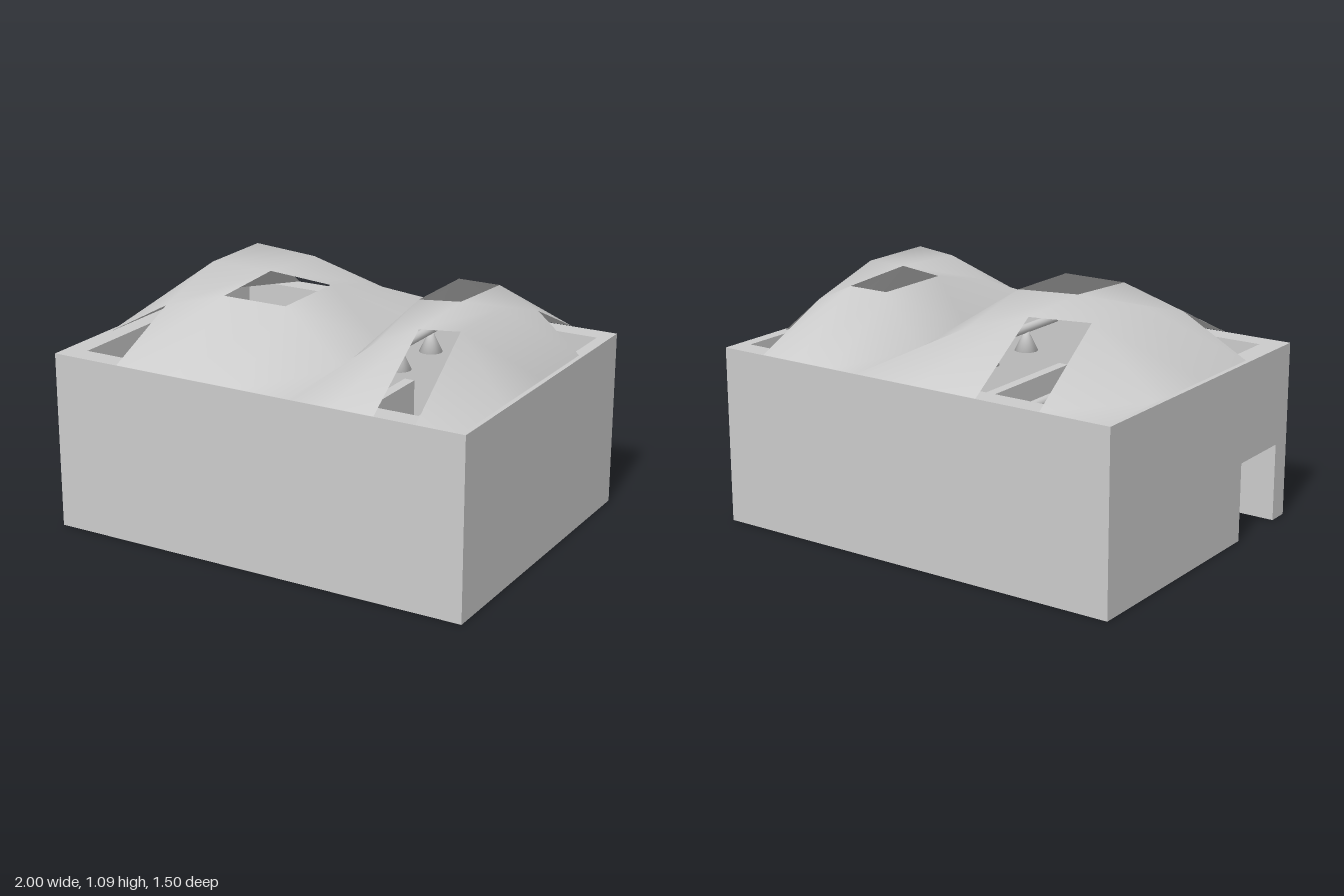
import * as THREE from 'three';

const mat = new THREE.MeshStandardMaterial({ color: 0xcccccc });
const matDouble = new THREE.MeshStandardMaterial({ color: 0xcccccc, side: THREE.DoubleSide });

export function createModel() {
  const model = new THREE.Group();

  function add(name, geometry, material = mat, parent = model) {
    const mesh = new THREE.Mesh(geometry, material);
    mesh.name = name;
    parent.add(mesh);
    return mesh;
  }

  // Box given by its limits on each axis
  function slab(name, x0, x1, y0, y1, z0, z1) {
    const g = new THREE.BoxGeometry(x1 - x0, y1 - y0, z1 - z0);
    g.translate((x0 + x1) / 2, (y0 + y1) / 2, (z0 + z1) / 2);
    return add(name, g);
  }

  // Outline of (z, y) points extruded from x0 to x1
  function sideExtrude(name, points, x0, x1) {
    const shape = new THREE.Shape(points.map(([z, y]) => new THREE.Vector2(-z, y)));
    const g = new THREE.ExtrudeGeometry(shape, { depth: x1 - x0, bevelEnabled: false });
    g.rotateY(Math.PI / 2);
    g.translate(x0, 0, 0);
    return add(name, g);
  }

  // Round bar between two points
  function bar(name, a, b, radius, parent = model, sides = 16) {
    const dir = b.clone().sub(a);
    const mesh = add(name, new THREE.CylinderGeometry(radius, radius, dir.length(), sides), mat, parent);
    mesh.position.copy(a).add(b).multiplyScalar(0.5);
    mesh.quaternion.setFromUnitVectors(new THREE.Vector3(0, 1, 0), dir.normalize());
  }

  // Outer walls, open underneath, with a doorway in the side wall
  const H = 0.81;
  slab('frontWall', -1, 1, 0, H, 0.65, 0.75);
  slab('backWall', -1, 1, 0, H, -0.75, -0.65);
  slab('leftWall', 0.945, 1, 0, H, -0.65, 0.65);
  sideExtrude('doorWall', [
    [0.65, H], [0.65, 0.36], [0.33, 0.36], [0.33, 0], [-0.65, 0], [-0.65, H],
  ], -1, -0.9);

  // Inner partition
  slab('partition', 0.115, 0.165, 0, 0.55, -0.39, 0.65);

  // Gallery
  slab('walkway', -0.41, -0.18, 0.32, 0.36, -0.45, 0.65);
  slab('backGallery', -0.9, -0.18, 0.32, 0.36, -0.65, -0.45);
  slab('landing', -0.9, -0.74, 0.25, 0.36, -0.45, -0.1);

  // Stairs with a sloping underside
  const steps = 8, zStart = 0.32, zEnd = -0.1, rise = 0.36 / steps, run = (zStart - zEnd) / steps;
  const profile = [[zStart, 0]];
  for (let i = 0; i < steps; i++) {
    profile.push([zStart - i * run, (i + 1) * rise], [zStart - (i + 1) * run, (i + 1) * rise]);
  }
  profile.push([zEnd, 0.25], [zStart - 0.12, 0]);
  sideExtrude('stairs', profile, -0.9, -0.74);

  // Railings
  function railing(name, a, b, posts) {
    const group = new THREE.Group();
    group.name = name;
    model.add(group);
    const p = new THREE.Vector3(...a), q = new THREE.Vector3(...b);
    const up = new THREE.Vector3(0, 0.13, 0);
    bar('handrail', p.clone().add(up), q.clone().add(up), 0.008, group, 8);
    for (let i = 0; i <= posts; i++) {
      const foot = p.clone().lerp(q, i / posts);
      bar('post', foot, foot.clone().add(up), 0.006, group, 8);
    }
  }
  railing('walkwayRailing', [-0.188, 0.36, -0.64], [-0.188, 0.36, 0.64], 7);
  railing('innerRailing', [-0.402, 0.36, -0.458], [-0.402, 0.36, 0.64], 6);
  railing('backRailing', [-0.748, 0.36, -0.458], [-0.402, 0.36, -0.458], 2);
  railing('landingRailing', [-0.748, 0.36, -0.458], [-0.748, 0.36, -0.1], 2);
  railing('stairRailing', [-0.748, 0.36, -0.1], [-0.748, 0.03, 0.3], 3);

  // Ceiling bars with hanging lamps
  const lampProfile = [[0, 0.05], [0.015, 0.05], [0.018, 0.03], [0.055, -0.045], [0, -0.045]]
    .reverse().map(([r, y]) => new THREE.Vector2(r, y));
  const lampGeometry = new THREE.LatheGeometry(lampProfile, 24);
  for (const x of [-0.53, 0.19, 0.72]) {
    bar('ceilingBar', new THREE.Vector3(x, 0.77, -0.65), new THREE.Vector3(x, 0.77, 0.65), 0.021);
    for (const z of [-0.5, -0.2, 0.1, 0.41]) {
      add('lamp', lampGeometry, matDouble).position.set(x, 0.71, z);
    }
  }

  // Roof: two hills on a coarse grid, with six cells left open
  const zs = [-0.75, -0.375, 0, 0.375, 0.75];
  const xs = [-0.98, -0.67, -0.36, -0.05, 0.22, 0.39, 0.59, 0.78, 0.98];
  const valleyX = [0.26, 0.22, 0.22, 0.225, 0.2];
  const heights = [
    [H, H, H, H, H, H, H, H, H],
    [H, 1.09, 1.07, 0.98, 0.84, 1.07, 1.07, 0.98, H],
    [H, 1.09, 1.09, 1.07, 0.84, 1.07, 1.09, 1.09, H],
    [H, 0.98, 1.07, 1.07, 0.84, 0.98, 1.07, 1.09, H],
    [H, H, H, H, H, H, H, H, H],
  ];
  const open = new Set(['0,3', '1,0', '2,2', '5,1', '6,3', '7,0']);

  // Each hill keeps its own normals, so the valley stays sharp
  for (const [name, first, last] of [['rightHill', 0, 4], ['leftHill', 4, 8]]) {
    const positions = [], index = [], n = last - first + 1;
    zs.forEach((z, j) => {
      for (let i = first; i <= last; i++) {
        positions.push(i === 4 ? valleyX[j] : xs[i], heights[j][i] + 0.001, z);
      }
    });
    for (let j = 0; j < 4; j++) {
      for (let i = first; i < last; i++) {
        if (open.has(`${i},${j}`)) continue;
        const a = j * n + i - first, b = a + 1, c = a + n, d = c + 1;
        index.push(a, c, b, b, c, d);
      }
    }
    const g = new THREE.BufferGeometry();
    g.setAttribute('position', new THREE.Float32BufferAttribute(positions, 3));
    g.setIndex(index);
    g.computeVertexNormals();
    add(name, g, matDouble);
  }

  return model;
}
